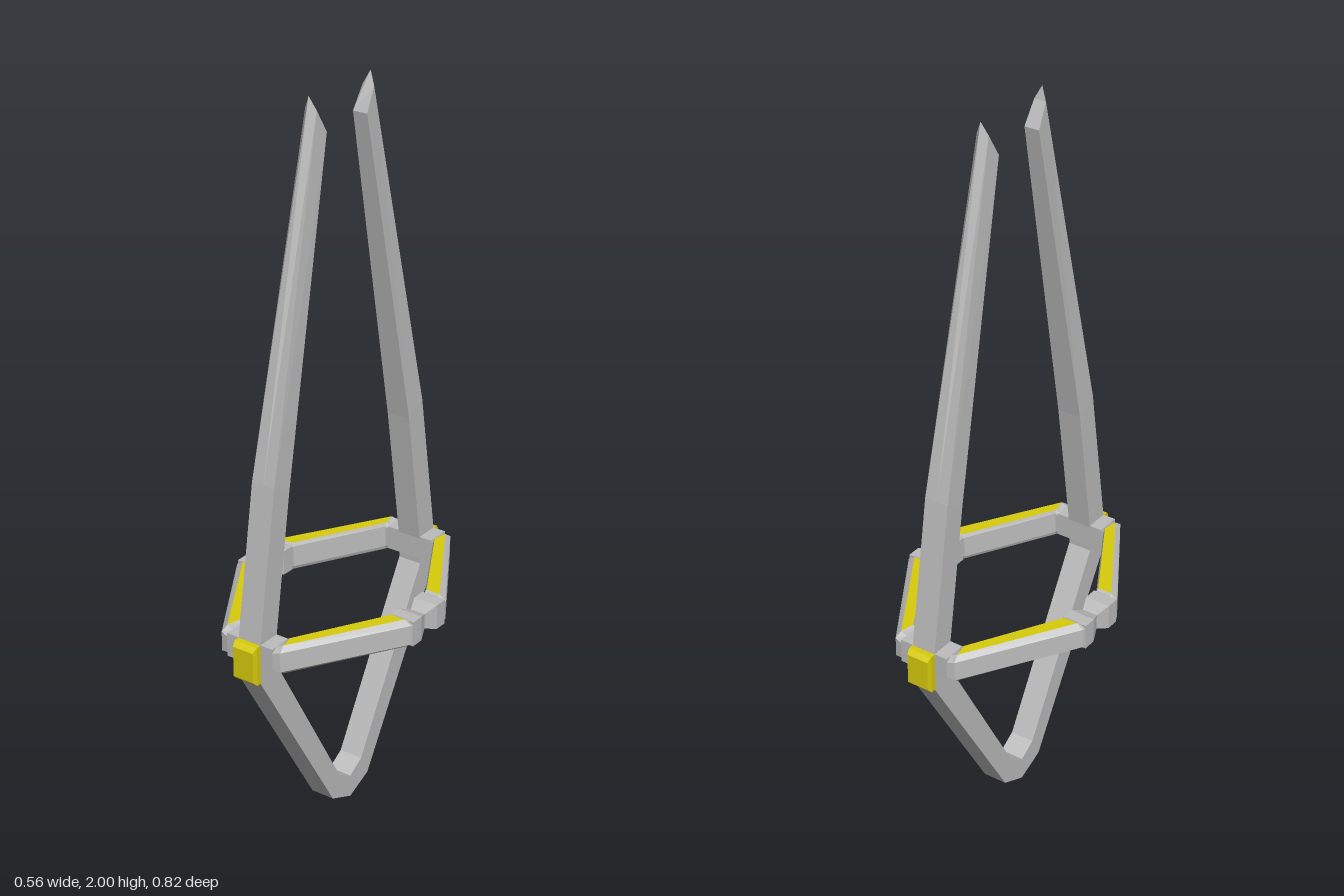
import * as THREE from 'three';

const V = (x, y, z) => new THREE.Vector3(x, y, z);

// Skins a list of equal-length point rings; returns flat geometry with two groups (0 = body, 1 = accent sides)
function loft(rings, isAccent = () => false) {
  const body = [], accent = [];
  const n = rings[0].length;
  const cap = (r) => {
    for (let j = 1; j < n - 1; j++) body.push([r[0], r[j], r[j + 1]]);
  };
  cap([...rings[0]].reverse());
  cap(rings[rings.length - 1]);
  for (let i = 0; i < rings.length - 1; i++) {
    for (let j = 0; j < n; j++) {
      const k = (j + 1) % n, a = rings[i], b = rings[i + 1];
      (isAccent(i, j) ? accent : body).push([a[j], a[k], b[k]], [a[j], b[k], b[j]]);
    }
  }
  // Turn every face outward using the signed volume
  const tris = [...body, ...accent];
  const c = rings[0][0];
  let volume = 0;
  for (const [p, q, r] of tris) {
    volume += p.clone().sub(c).dot(q.clone().sub(c).cross(r.clone().sub(c)));
  }
  const pts = tris.flatMap(([p, q, r]) => (volume < 0 ? [p, r, q] : [p, q, r]));
  const geo = new THREE.BufferGeometry().setFromPoints(pts);
  geo.computeVertexNormals();
  geo.addGroup(0, body.length * 3, 0);
  if (accent.length) geo.addGroup(body.length * 3, accent.length * 3, 1);
  return geo;
}

export function createModel() {
  const model = new THREE.Group();
  const grey = new THREE.MeshStandardMaterial({ color: 0xbcbcbc });
  grey.name = 'metal grey';
  const yellow = new THREE.MeshStandardMaterial({ color: 0xd9cc0c });
  yellow.name = 'accent yellow';

  const add = (name, geo, mats) => {
    const mesh = new THREE.Mesh(geo, mats);
    mesh.name = name;
    model.add(mesh);
  };

  // Two-pronged frame: outer z, y, inner z, y, inner and outer half widths, ridge z, y
  const half = [
    [0.116, 1.965, 0.082, 1.905, 0.021, 0.017, 0.125, 2.0],
    [0.32, 1.065, 0.26, 1.03, 0.034, 0.034, 0.32, 1.065],
    [0.386, 0.65, 0.32, 0.64, 0.034, 0.034, 0.386, 0.65],
    [0.391, 0.555, 0.322, 0.575, 0.034, 0.034, 0.391, 0.555],
    [0.08, 0.035, 0.05, 0.095, 0.034, 0.034, 0.08, 0.035],
    [0, 0, 0, 0.065, 0.034, 0.034, 0, 0],
  ];
  const frameRing = ([oz, oy, iz, iy, wi, wo, rz, ry], s) => [
    V(-wi, iy, iz * s), V(wi, iy, iz * s), V(wo, oy, oz * s), V(0, ry, rz * s), V(-wo, oy, oz * s),
  ];
  const frame = [
    ...half.map((h) => frameRing(h, 1)),
    ...half.slice(0, -1).reverse().map((h) => frameRing(h, -1)),
  ];
  add('prongFrame', loft(frame), grey);

  const cy = 0.625;

  // Ring arms: inner x, z, outer x, z, half height; the middle span carries yellow strips
  const arm = [
    [0.07, 0.318, 0.07, 0.385, 0.033],
    [0.078, 0.318, 0.092, 0.38, 0.04],
    [0.212, 0.08, 0.277, 0.08, 0.04],
    [0.212, 0.07, 0.28, 0.07, 0.036],
  ];
  // Section: fraction from inner to outer edge, fraction of half height
  const section = [
    [0, 0.75], [0.08, 1], [0.7, 1], [1, 0.68],
    [1, -0.68], [0.7, -1], [0.08, -1], [0, -0.75],
  ];
  for (const sx of [1, -1]) {
    for (const sz of [1, -1]) {
      const rings = arm.map(([ix, iz, ox, oz, h]) => section.map(([t, v]) =>
        V(sx * (ix + (ox - ix) * t), cy + v * h, sz * (iz + (oz - iz) * t))));
      add('ringArm', loft(rings, (i, j) => i === 1 && (j === 1 || j === 5)), [grey, yellow]);
    }
  }

  // Pinched side joints: z, inner x, outer x, half height
  const joint = [
    [0.072, 0.21, 0.28, 0.035], [0.035, 0.21, 0.28, 0.035], [0, 0.223, 0.266, 0.021],
    [-0.035, 0.21, 0.28, 0.035], [-0.072, 0.21, 0.28, 0.035],
  ];
  for (const s of [1, -1]) {
    add('sideJoint', loft(joint.map(([z, a, b, h]) => [
      V(s * a, cy - h, z), V(s * b, cy - h, z), V(s * b, cy + h, z), V(s * a, cy + h, z),
    ])), grey);
  }

  // Cross blocks through the frame and chamfered yellow end caps
  for (const s of [1, -1]) {
    const block = new THREE.BoxGeometry(0.142, 0.066, 0.067);
    block.translate(0, cy, s * 0.3515);
    add('crossBlock', block, grey);

    const cap = [[0.384, 0.0345, 0.548, 0.657], [0.4, 0.0345, 0.548, 0.657], [0.412, 0.031, 0.56, 0.645]];
    add('endCap', loft(cap.map(([z, w, y0, y1]) => [
      V(-w, y0, s * z), V(w, y0, s * z), V(w, y1, s * z), V(-w, y1, s * z),
    ])), yellow);
  }

  return model;
}
